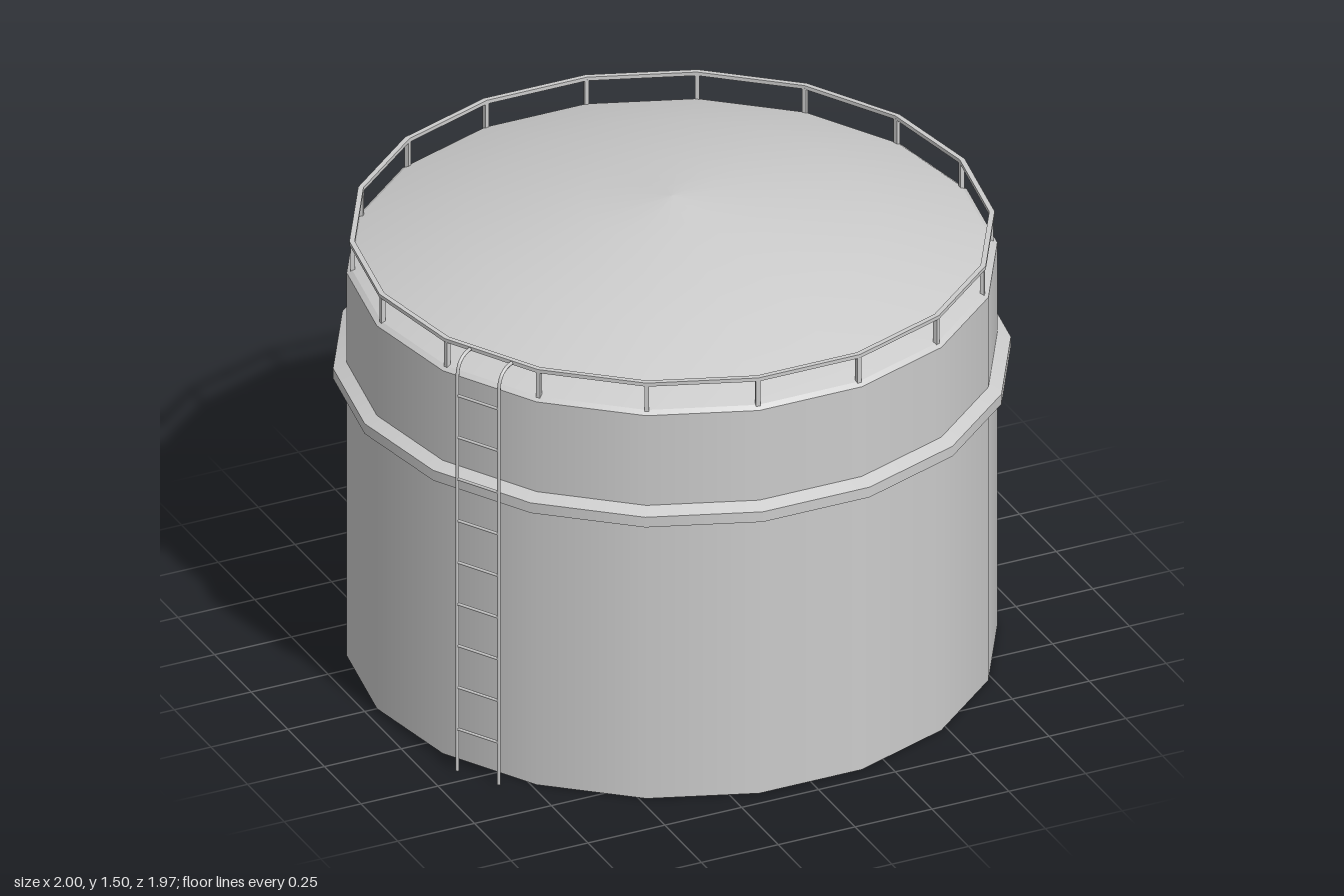
import * as THREE from 'three';

const SIDES = 18;
const steel = new THREE.MeshStandardMaterial({ color: 0xcccccc, side: THREE.DoubleSide });
const flatSteel = new THREE.MeshStandardMaterial({ color: 0xcccccc, flatShading: true });

function add(parent, name, geometry, material = steel) {
  const mesh = new THREE.Mesh(geometry, material);
  mesh.name = name;
  parent.add(mesh);
  return mesh;
}

// Rings smooth around the axis, with a sharp edge at every [radius, y] profile point.
function rings(parent, name, profile) {
  const group = new THREE.Group();
  group.name = name;
  for (let i = 0; i < profile.length - 1; i++) {
    const [r0, y0] = profile[i], [r1, y1] = profile[i + 1];
    const geometry = new THREE.CylinderGeometry(r1, r0, y1 - y0, SIDES, 1, true, Math.PI / 2);
    add(group, name + 'Face', geometry.translate(0, (y0 + y1) / 2, 0));
  }
  parent.add(group);
}

export function createModel() {
  const model = new THREE.Group();
  model.name = 'storageTank';

  // Tank wall with a slight bevel at the top, and its floor
  rings(model, 'tankWall', [[0.96, 0], [0.96, 1.286], [0.945, 1.297]]);
  add(model, 'tankFloor', new THREE.CircleGeometry(0.96, SIDES).rotateX(Math.PI / 2));

  // Shallow domed roof
  const dome = [[0.945, 1.297], [0.62, 1.407], [0.26, 1.47], [0, 1.495]].map(([r, y]) => new THREE.Vector2(r, y));
  add(model, 'domeRoof', new THREE.LatheGeometry(dome, SIDES, Math.PI / 2));

  // Stiffening band around the wall
  rings(model, 'stiffeningBand', [[0.955, 0.918], [1, 0.933], [1, 0.967], [0.955, 0.987]]);

  // Guard rail: square-section ring on a post at each corner
  const railing = new THREE.Group();
  railing.name = 'guardRail';
  model.add(railing);
  rings(railing, 'handrail', [[0.936, 1.379], [0.952, 1.3791], [0.952, 1.391], [0.936, 1.3911], [0.936, 1.379]]);
  for (let i = 0; i < SIDES; i++) {
    const a = (i / SIDES) * Math.PI * 2;
    const post = add(railing, 'railPost', new THREE.BoxGeometry(0.013, 0.095, 0.013), flatSteel);
    post.position.set(Math.cos(a) * 0.942, 1.335, Math.sin(a) * 0.942);
    post.rotation.y = -a;
  }

  // Ladder, built along +x with stringers curving in to the handrail, then turned into place
  const ladder = new THREE.Group();
  ladder.name = 'ladder';
  const radius = 1.005, half = 0.074, bend = 0.065;
  for (const z of [-half, half]) {
    add(ladder, 'ladderStringer', new THREE.CylinderGeometry(0.006, 0.006, 1.32, 6).translate(radius, 0.66, z));
    const arc = new THREE.QuadraticBezierCurve3(
      new THREE.Vector3(radius, 1.318, z),
      new THREE.Vector3(radius, 1.385, z),
      new THREE.Vector3(radius - bend, 1.385, z));
    add(ladder, 'ladderHook', new THREE.TubeGeometry(arc, 8, 0.006, 6));
  }
  for (let i = 1; i <= 9; i++) {
    const rung = new THREE.CylinderGeometry(0.005, 0.005, half * 2, 6).rotateX(Math.PI / 2);
    add(ladder, 'ladderRung', rung.translate(radius, i * 0.14, 0));
  }
  ladder.rotation.y = -Math.PI * 5 / 6;
  model.add(ladder);

  return model;
}
